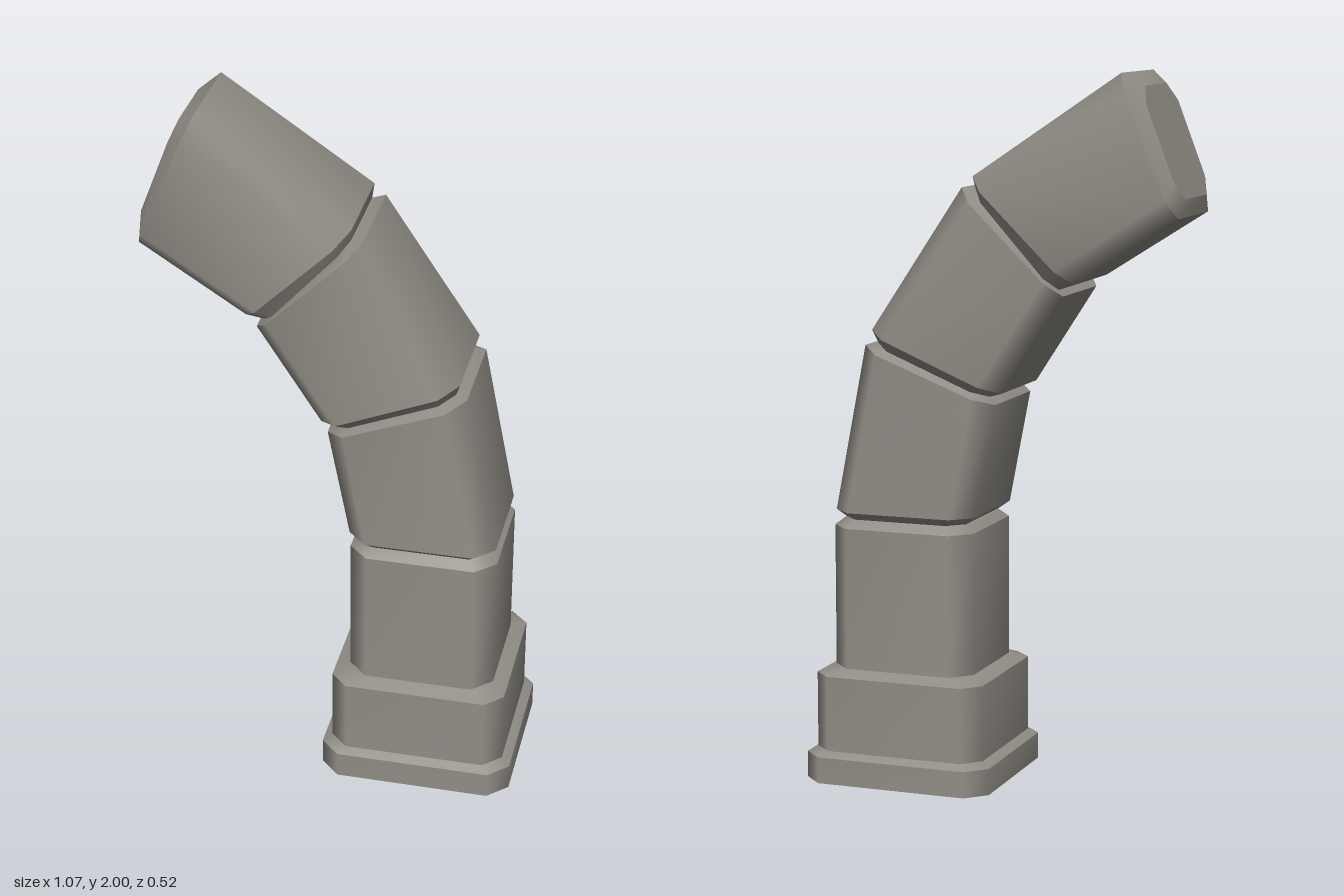
import * as THREE from 'three';

// Chamfered rectangle spanning left point to right point, extruded +-h in z
function ring([lx, ly, rx, ry, h, c = 0.055]) {
  const len = Math.hypot(rx - lx, ry - ly);
  const ux = (rx - lx) / len, uy = (ry - ly) / len;
  const cx = (lx + rx) / 2, cy = (ly + ry) / 2, w = len / 2;
  return [
    [w, -h + c], [w, h - c], [w - c, h], [-w + c, h],
    [-w, h - c], [-w, -h + c], [-w + c, -h], [w - c, -h],
  ].map(([u, z]) => [cx + ux * u, cy + uy * u, z]);
}

// Loft through rings: smooth around the tube, sharp between bands
function loft(sections, capped) {
  const rings = sections.map(ring);
  const positions = [], indices = [], n = 8;
  for (let k = 0; k + 1 < rings.length; k++) {
    const o = positions.length / 3;
    positions.push(...rings[k].flat(), ...rings[k + 1].flat());
    for (let j = 0; j < n; j++) {
      const a = o + j, b = o + (j + 1) % n, c = a + n, d = b + n;
      indices.push(a, c, b, b, c, d);
    }
  }
  if (capped) {
    const o = positions.length / 3;
    positions.push(...rings[rings.length - 1].flat());
    for (let j = 1; j < n - 1; j++) indices.push(o, o + j + 1, o + j);
  }
  const g = new THREE.BufferGeometry();
  g.setAttribute('position', new THREE.Float32BufferAttribute(positions, 3));
  g.setIndex(indices);
  g.computeVertexNormals();
  return g;
}

export function createModel() {
  const group = new THREE.Group();
  const stone = new THREE.MeshStandardMaterial({ color: 0x918d86, side: THREE.DoubleSide });
  stone.name = 'warm grey';

  // Rings shared by neighbouring parts: [leftX, leftY, rightX, rightY, halfDepth, chamfer]
  const flangeTop = [0.01, 0.09, 0.51, 0.09, 0.237, 0.05];
  const collarTop = [0.053, 0.323, 0.47, 0.323, 0.198];
  const neck1 = [0.08, 0.748, 0.442, 0.748, 0.172, 0.045];
  const neck2 = [0.01, 1.11, 0.34, 1.245, 0.172, 0.045];
  const neck3 = [-0.19, 1.413, 0.05, 1.68, 0.172, 0.045];

  const parts = {
    baseFlange: [[-0.015, 0, 0.535, 0, 0.26], [-0.015, 0.075, 0.535, 0.075, 0.26], flangeTop],
    baseCollar: [flangeTop, [0.01, 0.305, 0.51, 0.305, 0.237, 0.05], collarTop],
    lowerSegment: [collarTop, [0.053, 0.725, 0.47, 0.725, 0.198], neck1],
    secondSegment: [neck1, [0.05, 0.77, 0.465, 0.77, 0.198], [-0.012, 1.09, 0.373, 1.24, 0.198], neck2],
    thirdSegment: [neck2, [-0.03, 1.122, 0.353, 1.283, 0.198], [-0.208, 1.397, 0.085, 1.685, 0.198], neck3],
    tipSegment: [neck3, [-0.238, 1.43, 0.053, 1.716, 0.198], [-0.53, 1.615, -0.37, 2, 0.198],
      [-0.537, 1.665, -0.422, 1.965, 0.147, 0.05]],
  };
  for (const [name, sections] of Object.entries(parts)) {
    const mesh = new THREE.Mesh(loft(sections, name === 'tipSegment'), stone);
    mesh.name = name;
    group.add(mesh);
  }
  return group;
}
